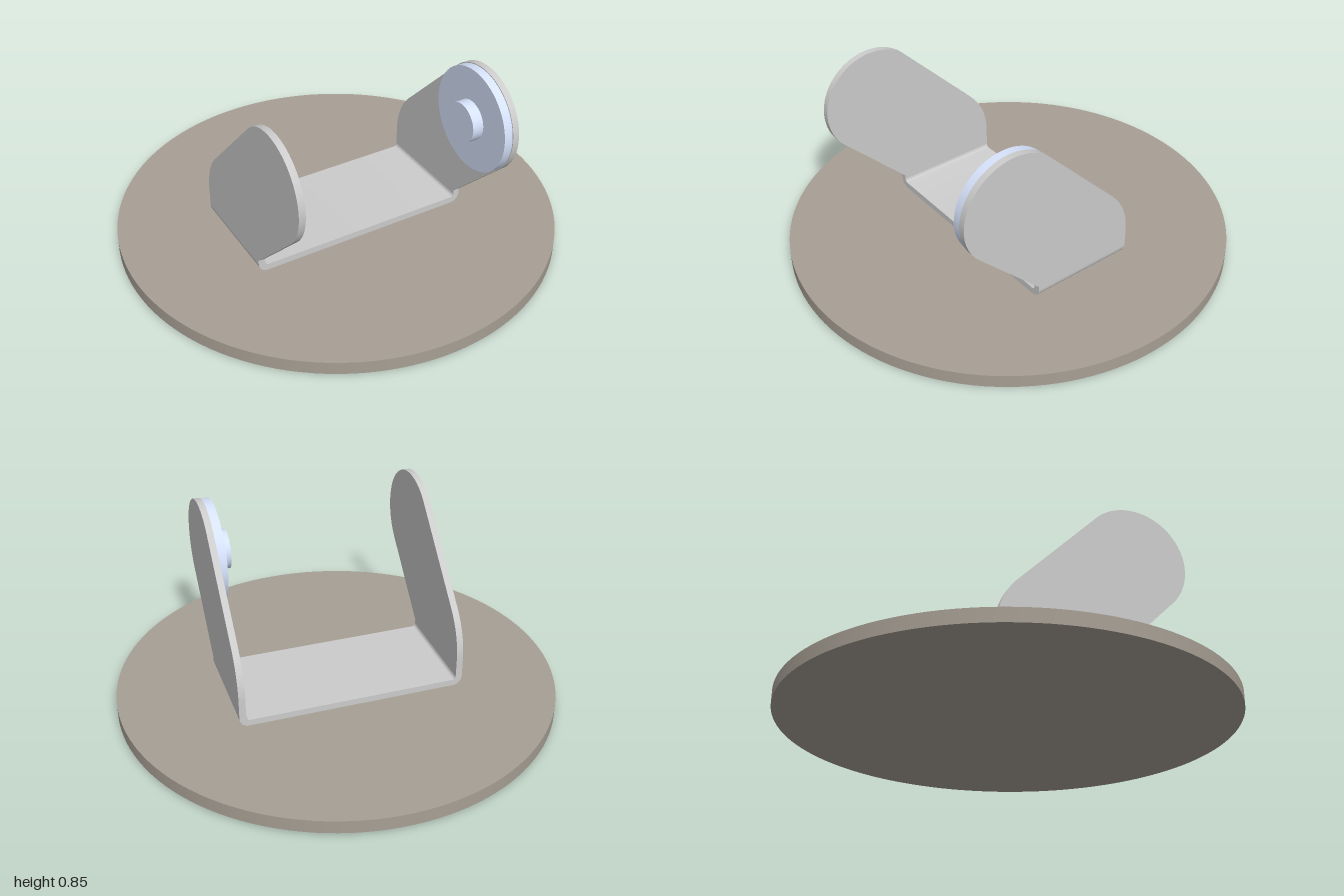
import * as THREE from 'three';
import { toCreasedNormals } from 'three/addons/utils/BufferGeometryUtils.js';

const HALF = 0.52, T = 0.03;            // bracket half width, sheet thickness
const BACK = -0.2475, FRONT = 0.24;     // floor depth range
const FLOOR = 0.065, BEND = 0.11;       // underside height, top of the bends
const PIVOT = { z: 0.373, y: 0.607, r: 0.243 };

const mat = (color) => new THREE.MeshStandardMaterial({ color });

function add(parent, name, geometry, material) {
  const mesh = new THREE.Mesh(geometry, material);
  mesh.name = name;
  parent.add(mesh);
  return mesh;
}

function extrude(shape, depth) {
  const g = new THREE.ExtrudeGeometry(shape, { depth, bevelEnabled: false, curveSegments: 32 });
  return toCreasedNormals(g, 0.5);
}

// U-shaped folded floor, drawn in x/y
function channelShape() {
  const R = BEND - FLOOR, r = R - T, c = HALF - R;
  const s = new THREE.Shape();
  s.moveTo(-HALF, BEND);
  s.absarc(-c, BEND, R, Math.PI, Math.PI * 1.5, false);
  s.absarc(c, BEND, R, Math.PI * 1.5, Math.PI * 2, false);
  s.lineTo(HALF - T, BEND);
  s.absarc(c, BEND, r, 0, -Math.PI / 2, true);
  s.absarc(-c, BEND, r, -Math.PI / 2, -Math.PI, true);
  s.closePath();
  return s;
}

// Forward-leaning side arm with a round end, drawn in z/y
function armShape() {
  const R = 0.31;
  const s = new THREE.Shape();
  s.moveTo(FRONT, BEND);
  s.lineTo(FRONT, 0.13);
  s.absarc(PIVOT.z, PIVOT.y, PIVOT.r, -Math.PI / 4, Math.PI * 0.75, false);
  s.absarc(BACK + R, 0.2, R, Math.PI * 0.75, Math.PI, false);
  s.lineTo(BACK, BEND);
  s.closePath();
  return s;
}

// Cylinder lying along x between two positions
function axle(radius, x0, x1) {
  return new THREE.CylinderGeometry(radius, radius, x1 - x0, 64)
    .rotateZ(Math.PI / 2)
    .translate((x0 + x1) / 2, PIVOT.y, PIVOT.z);
}

export function createModel() {
  const group = new THREE.Group();
  const steel = mat(0xcccccc), hubMat = mat(0xd6e2fb);

  // Round base, tipped very slightly forward
  const base = add(group, 'baseDisc', new THREE.CylinderGeometry(1, 1, 0.06, 128), mat(0xa79f94));
  base.position.y = 0.035;
  base.rotation.x = 0.004;

  // Bracket, turned slightly on the base
  const bracket = new THREE.Group();
  bracket.name = 'bracket';
  bracket.rotation.y = 0.02;
  group.add(bracket);

  add(bracket, 'bracketFloor', extrude(channelShape(), FRONT - BACK).translate(0, 0, BACK), steel);
  for (const [name, x] of [['leftArm', HALF], ['rightArm', T - HALF]]) {
    add(bracket, name, extrude(armShape(), T).rotateY(-Math.PI / 2).translate(x, 0, 0), steel);
  }

  // Pivot hub on the inside of the left arm
  add(bracket, 'hubDisc', axle(0.239, 0.45, HALF - T), hubMat);
  add(bracket, 'hubPin', axle(0.091, 0.398, 0.45), hubMat);

  return group;
}
